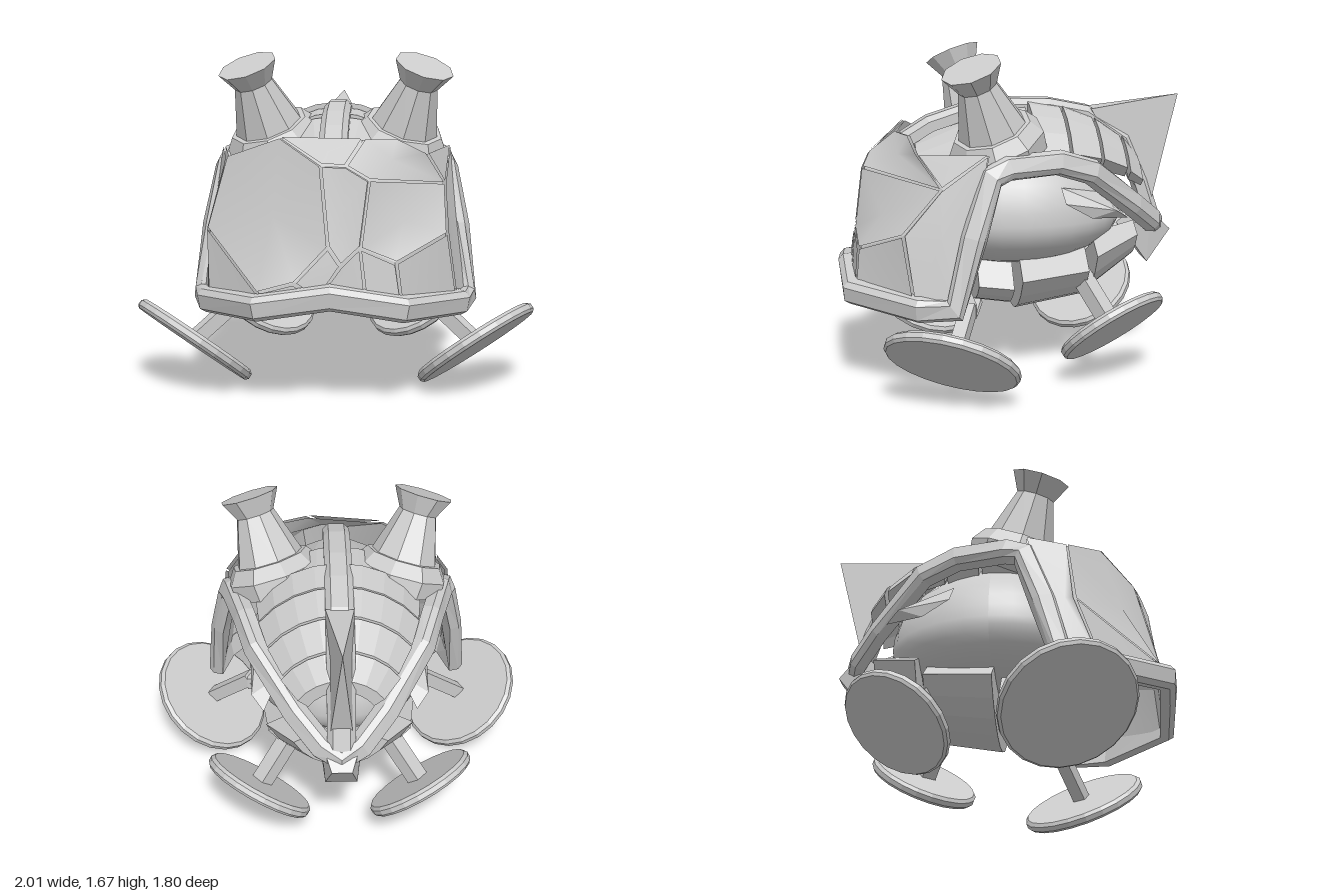
import * as THREE from 'three';
import { ConvexGeometry } from 'three/addons/geometries/ConvexGeometry.js';

const V = (x, y, z) => new THREE.Vector3(x, y, z);
const flat = new THREE.MeshStandardMaterial({ color: 0xcccccc, flatShading: true, side: THREE.DoubleSide });
const smooth = new THREE.MeshStandardMaterial({ color: 0xcccccc, side: THREE.DoubleSide });

function add(group, name, geometry, material = flat) {
  const mesh = new THREE.Mesh(geometry, material);
  mesh.name = name;
  group.add(mesh);
  return mesh;
}

// Joins a row of equal-sized cross-sections; open rows get end caps.
function loft(rings, closed = false) {
  const n = rings[0].length, pos = rings.flat().flatMap(p => p.toArray()), idx = [];
  for (let i = 0; i < rings.length - (closed ? 0 : 1); i++) {
    const a = i * n, b = ((i + 1) % rings.length) * n;
    for (let j = 0; j < n; j++) {
      const k = (j + 1) % n;
      idx.push(a + j, b + j, b + k, a + j, b + k, a + k);
    }
  }
  if (!closed) {
    const e = (rings.length - 1) * n;
    for (let j = 1; j < n - 1; j++) idx.push(0, j, j + 1, e, e + j + 1, e + j);
  }
  const g = new THREE.BufferGeometry();
  g.setAttribute('position', new THREE.Float32BufferAttribute(pos, 3));
  g.setIndex(idx);
  g.computeVertexNormals();
  return g;
}

// Bevelled bar along a path; the thin direction points away from the body.
function sweep(points, width, thick, closed, refY) {
  const n = points.length;
  const rings = points.map((p, i) => {
    const prev = points[closed ? (i + n - 1) % n : Math.max(i - 1, 0)];
    const next = points[closed ? (i + 1) % n : Math.min(i + 1, n - 1)];
    const t = next.clone().sub(p).normalize().add(p.clone().sub(prev).normalize()).normalize();
    const out = V(p.x, (p.y - 0.8) * refY, p.z);
    out.addScaledVector(t, -out.dot(t)).normalize();
    const side = t.clone().cross(out);
    return [[-1, -1], [1, -1], [1, 0.3], [0.6, 1], [-0.6, 1], [-1, 0.3]].map(([s, o]) =>
      p.clone().addScaledVector(side, s * width / 2).addScaledVector(out, o * thick / 2));
  });
  return loft(rings, closed);
}

// Curved armour plate between two z values, spanning angles around the body.
function plate(z0, z1, mid, half, grow, inner) {
  const rings = [], steps = 8;
  const at = (z, a, s) => {
    const r = Math.sqrt(1 - ((z + 0.03) / 0.72) ** 2) * s * grow;
    return V(0.52 * r * Math.sin(a), 0.83 + 0.55 * r * Math.cos(a), z);
  };
  for (let i = 0; i <= steps; i++) {
    const a = mid + half * (2 * i / steps - 1);
    rings.push([at(z0, a, 1), at(z1, a, 1), at(z1, a, inner), at(z0, a, inner)]);
  }
  return loft(rings);
}

// Polygon fanned around its middle; inset leaves the crack between panes.
function pane(points, inset, scale = 1) {
  const n = points.length, idx = [], focus = V(0, 0.8, 0.1);
  const c = points.reduce((s, p) => s.add(p), V(0, 0, 0)).divideScalar(n);
  const corners = points.map(p => p.clone().addScaledVector(c.clone().sub(p).normalize(), inset));
  const all = [...corners, c].map(p => p.sub(focus).multiplyScalar(scale).add(focus));
  for (let i = 0; i < n; i++) idx.push(n, (i + 1) % n, i);
  const g = new THREE.BufferGeometry().setFromPoints(all);
  g.setIndex(idx);
  g.computeVertexNormals();
  return g;
}

function beam(group, name, a, b, w, h) {
  const m = add(group, name, new THREE.BoxGeometry(w, h, a.distanceTo(b)));
  m.position.copy(a).lerp(b, 0.5);
  m.lookAt(b);
}

function disc(group, name, r, centre, normal) {
  const p = [[0, -0.028], [r * 0.95, -0.028], [r, -0.012], [r, 0.014], [r * 0.96, 0.028], [0, 0.028]];
  const m = add(group, name, new THREE.LatheGeometry(p.map(q => new THREE.Vector2(...q)), 22));
  m.position.copy(centre);
  m.quaternion.setFromUnitVectors(V(0, 1, 0), normal.normalize());
}

export function createModel() {
  const model = new THREE.Group();
  model.name = 'hoverPod';

  // Rounded inner hull, flatter below its waist
  const ball = new THREE.SphereGeometry(1, 28, 20);
  const bp = ball.attributes.position;
  for (let i = 0; i < bp.count; i++) if (bp.getY(i) < 0) bp.setY(i, bp.getY(i) * 0.6);
  ball.scale(0.47, 0.44, 0.56);
  ball.computeVertexNormals();
  add(model, 'hull', ball, smooth).position.set(0, 0.81, -0.02);

  // Armour plates over the back and under the belly
  [[0.5, 0.16, 1.0, 0.96], [0.14, -0.07, 0.85, 0.98], [-0.085, -0.25, 0.9, 1.03], [-0.265, -0.42, 0.9, 1.04],
    [-0.435, -0.57, 0.9, 1.05], [-0.585, -0.67, 0.95, 1.08]].forEach(([a, b, half, g]) =>
    add(model, 'backPlate', plate(a, b, 0, half, g, 0.76)));
  [[0.2, 0.02, 0.75, 0.93], [-0.01, -0.36, 0.95, 0.98], [-0.4, -0.64, 1.1, 0.95]].forEach(([a, b, half, g]) =>
    add(model, 'bellyPlate', plate(a, b, Math.PI, half, g, 0.55)));

  // Heavy rim running around the windscreen, over the side openings to the tail
  const half = [[0.35, 0.485, 0.85], [0.63, 0.455, 0.53], [0.67, 0.46, 0.36], [0.63, 0.8, 0.265], [0.575, 1.09, 0.17],
    [0.55, 1.13, 0.08], [0.48, 1.14, -0.18], [0.425, 1.08, -0.36], [0.23, 0.87, -0.62], [0.1, 0.76, -0.75]]
    .map(p => V(...p));
  const mirror = p => V(-p.x, p.y, p.z);
  const rim = [V(0, 0.54, 0.86), ...half, V(0, 0.71, -0.79), ...half.slice().reverse().map(mirror)];
  add(model, 'rim', sweep(rim, 0.12, 0.08, true, 0.4));

  // Spine, tail fin and tail block
  const spine = [[1.2, 0.55], [1.28, 0.42], [1.335, 0.25], [1.365, 0], [1.36, -0.2], [1.32, -0.4],
    [1.18, -0.6], [0.95, -0.7], [0.74, -0.77]].map(([y, z]) => V(0, y, z));
  add(model, 'spine', sweep(spine, 0.14, 0.08, false, 1));
  add(model, 'tailFin', new ConvexGeometry([V(-0.07, 1.345, -0.42), V(0.07, 1.345, -0.42), V(-0.06, 0.8, -0.74),
    V(0.06, 0.8, -0.74), V(0, 1.41, -0.9), V(0, 0.88, -0.76)]));
  add(model, 'tailBlock', new ConvexGeometry([-1, 1].flatMap(s => [V(s * 0.1, 0.8, -0.74), V(s * 0.05, 0.69, -0.86),
    V(s * 0.08, 0.52, -0.73), V(s * 0.11, 0.7, -0.6)])));

  // Cracked windscreen: shared corner points, joined into panes
  const P = {
    a: [-0.64, 0.8, 0.42], b: [-0.54, 1.16, 0.38], c: [-0.26, 1.27, 0.54], d: [-0.05, 1.15, 0.71], e: [-0.01, 0.77, 0.81],
    f: [-0.17, 0.6, 0.83], g: [-0.35, 0.55, 0.82], h: [0.07, 1.15, 0.74], i: [0.15, 1.27, 0.61], j: [0.18, 1.09, 0.78],
    k: [0.14, 0.77, 0.82], l: [0.05, 0.69, 0.83], m: [-0.06, 0.53, 0.84], n: [0.17, 0.51, 0.84], o: [0.31, 0.7, 0.81],
    p: [0.34, 0.48, 0.83], q: [0.56, 0.81, 0.6], r: [0.61, 0.47, 0.55], s: [0.55, 1.03, 0.41], t: [0.46, 1.19, 0.52],
    u: [0.31, 1.27, 0.55], v: [0.58, 1.2, 0.18], w: [0.67, 0.46, 0.34], x: [-0.62, 0.47, 0.53], y: [-0.67, 0.46, 0.34],
    z: [-0.58, 1.19, 0.18], A: [-0.35, 0.48, 0.83],
  };
  const windscreen = new THREE.Group();
  windscreen.name = 'windscreen';
  model.add(windscreen);
  for (const cell of ['abcdefg', 'cdhi', 'dhjkle', 'hiutsj', 'jsqok', 'elmf', 'klmn', 'kopn', 'oqrp', 'qsvwr',
    'agAx', 'gfmA', 'axyzb', 'stv']) {
    const corners = [...cell].map(key => V(...P[key]));
    add(windscreen, 'pane', pane(corners, 0.011), smooth);
    add(windscreen, 'paneBacking', pane(corners, 0, 0.975), smooth);
  }

  // Funnels with collars, discs and struts on both sides
  beam(model, 'frontAxle', V(-0.5, 0.4, 0.27), V(0.5, 0.4, 0.27), 0.07, 0.07);
  const funnel = [[0, -0.1], [0.24, -0.09], [0.25, 0], [0.2, 0.07], [0.175, 0.07], [0.1, 0.31], [0.153, 0.41], [0, 0.41]]
    .map(q => new THREE.Vector2(...q));
  for (const s of [1, -1]) {
    const stack = add(model, s > 0 ? 'leftFunnel' : 'rightFunnel', new THREE.LatheGeometry(funnel, 9));
    stack.position.set(s * 0.33, 1.23, 0.115);
    stack.quaternion.setFromUnitVectors(V(0, 1, 0), V(s * 0.12, 0.38, 0.14).normalize());

    disc(model, 'frontDisc', 0.34, V(s * 0.712, 0.215, 0.38), V(s * 0.53, -0.77, 0.3));
    disc(model, 'rearDisc', 0.295, V(s * 0.42, 0.275, -0.47), V(s * 0.5, -0.76, -0.43));
    beam(model, 'frontStrut', V(s * 0.48, 0.42, 0.27), V(s * 0.7, 0.23, 0.37), 0.07, 0.07);
    beam(model, 'rearStrut', V(s * 0.24, 0.52, -0.33), V(s * 0.41, 0.29, -0.46), 0.08, 0.08);

    // Slanted vane on the flank
    add(model, 'flankVane', new ConvexGeometry([V(s * 0.42, 1.0, -0.2), V(s * 0.45, 0.92, -0.22), V(s * 0.43, 0.84, -0.36),
      V(s * 0.44, 0.88, -0.48), V(s * 0.38, 0.83, -0.55), V(s * 0.3, 0.95, -0.42)]));
  }
  return model;
}
